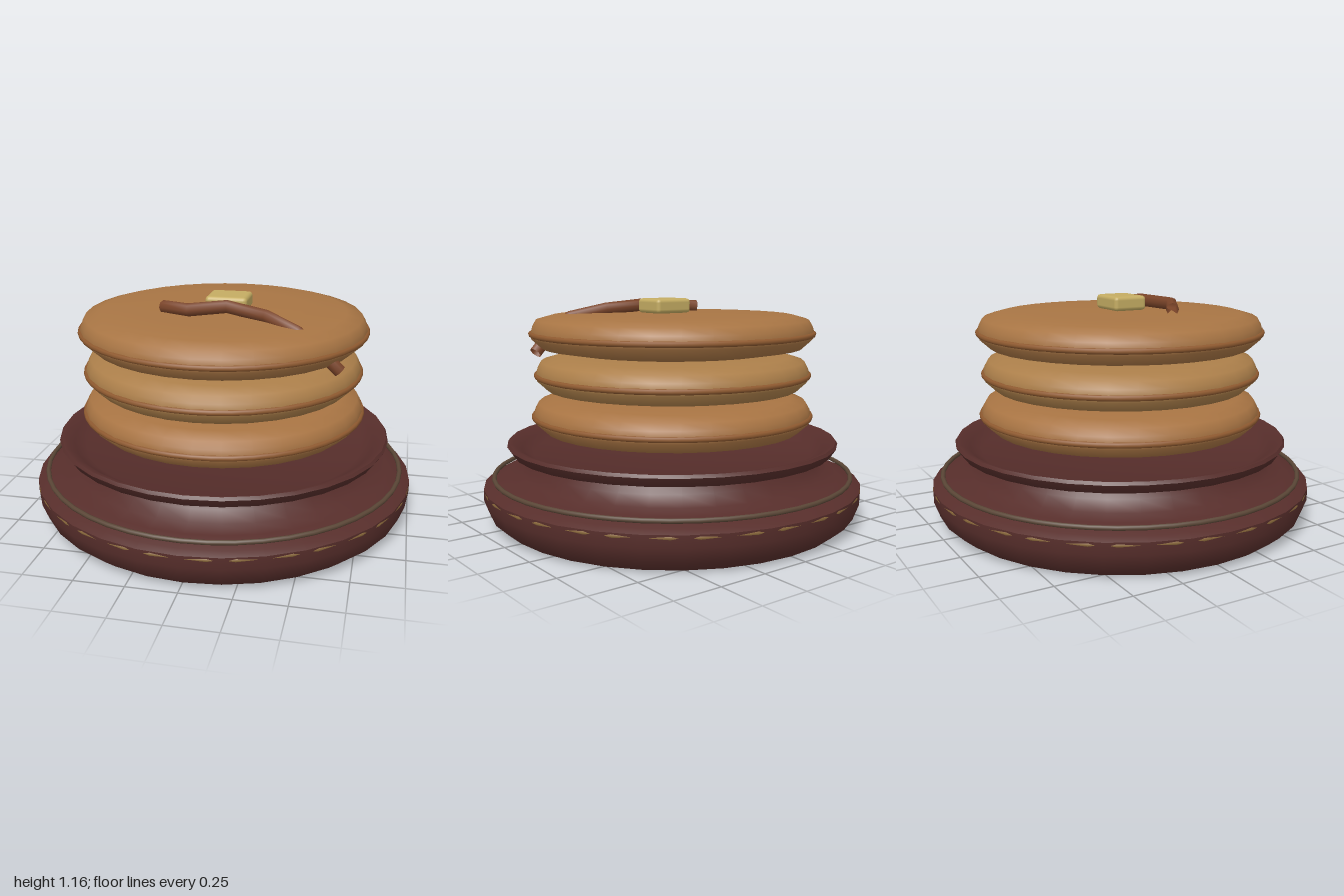
import * as THREE from 'three';
import { RoundedBoxGeometry } from 'three/addons/geometries/RoundedBoxGeometry.js';
import { toCreasedNormals } from 'three/addons/utils/BufferGeometryUtils.js';

const SIDES = 32;

function makeMesh(name, geometry, color, parent) {
  const mesh = new THREE.Mesh(geometry, new THREE.MeshStandardMaterial({ color }));
  mesh.name = name;
  parent.add(mesh);
  return mesh;
}

// Turned solid from [radius, height] pairs, bottom centre to top centre
function turned(profile, crease) {
  const points = profile.map(([r, y]) => new THREE.Vector2(r, y));
  return toCreasedNormals(new THREE.LatheGeometry(points, SIDES), crease);
}

// Horizontal ring at a given height
function makeRing(name, radius, tube, y, color, parent) {
  const geometry = new THREE.TorusGeometry(radius, tube, 8, 48).rotateX(Math.PI / 2);
  const ring = makeMesh(name, geometry, color, parent);
  ring.position.y = y;
  return ring;
}

function makePancake(name, radius, y, x, color, parent) {
  const pancake = new THREE.Group();
  pancake.name = name;
  pancake.position.set(x, y, 0);
  const s = radius / 0.75;
  const profile = [
    [0, 0], [0.53, 0], [0.68, 0.025], [0.735, 0.075], [0.74, 0.1],
    [0.73, 0.135], [0.71, 0.17], [0.63, 0.192], [0.4, 0.199], [0, 0.202],
  ].map(([r, h]) => [r * s, h]);
  makeMesh(name + 'Body', turned(profile, 1), color, pancake);
  // Browned seam around the edge
  makeRing(name + 'Seam', 0.735 * s, 0.014, 0.098, 0x8f5a30, pancake);
  parent.add(pancake);
}

export function createModel() {
  const model = new THREE.Group();
  model.name = 'pancakeStack';

  // Stepped serving stand with a shallow dish on top
  makeMesh('stand', turned([
    [0, 0], [0.91, 0], [0.97, 0.05], [1, 0.13], [1, 0.19], [0.97, 0.208],
    [0.88, 0.235], [0.8, 0.25], [0.755, 0.3], [0.735, 0.338], [0.845, 0.36],
    [0.875, 0.405], [0.865, 0.42], [0.845, 0.418], [0.8, 0.385],
    [0.74, 0.352], [0, 0.35],
  ], 0.8), 0x572e2b, model);
  makeRing('goldTrim', 0.985, 0.014, 0.175, 0x8c6a3c, model);
  makeRing('upperTrim', 0.945, 0.012, 0.236, 0x5a4636, model);

  // Stacked pancakes
  makePancake('bottomPancake', 0.745, 0.45, 0, 0xa87443, model);
  makePancake('middlePancake', 0.73, 0.665, -0.002, 0xac7f4a, model);
  makePancake('topPancake', 0.752, 0.88, 0, 0xa87544, model);

  // Butter pat
  const butter = makeMesh('butter', new RoundedBoxGeometry(0.215, 0.075, 0.185, 2, 0.02), 0xc4ac62, model);
  butter.position.set(0.033, 1.119, 0.025);

  // Strip lying on top and plunging through the top pancake's edge
  const path = new THREE.CatmullRomCurve3([
    [-0.28, 1.102, 0.145], [-0.13, 1.113, 0.235], [0.05, 1.122, 0.163],
    [0.26, 1.1, 0.235], [0.42, 1.058, 0.335], [0.55, 0.96, 0.35], [0.63, 0.88, 0.338],
  ].map((p) => new THREE.Vector3(...p)));
  // Sample exactly at the control points, so the bends stay angular
  path.getPointAt = path.getPoint;
  path.getTangentAt = path.getTangent;
  const strip = makeMesh('strip', new THREE.TubeGeometry(path, 6, 0.033, 8), 0x7a4429, model);
  strip.material.side = THREE.DoubleSide;

  return model;
}
